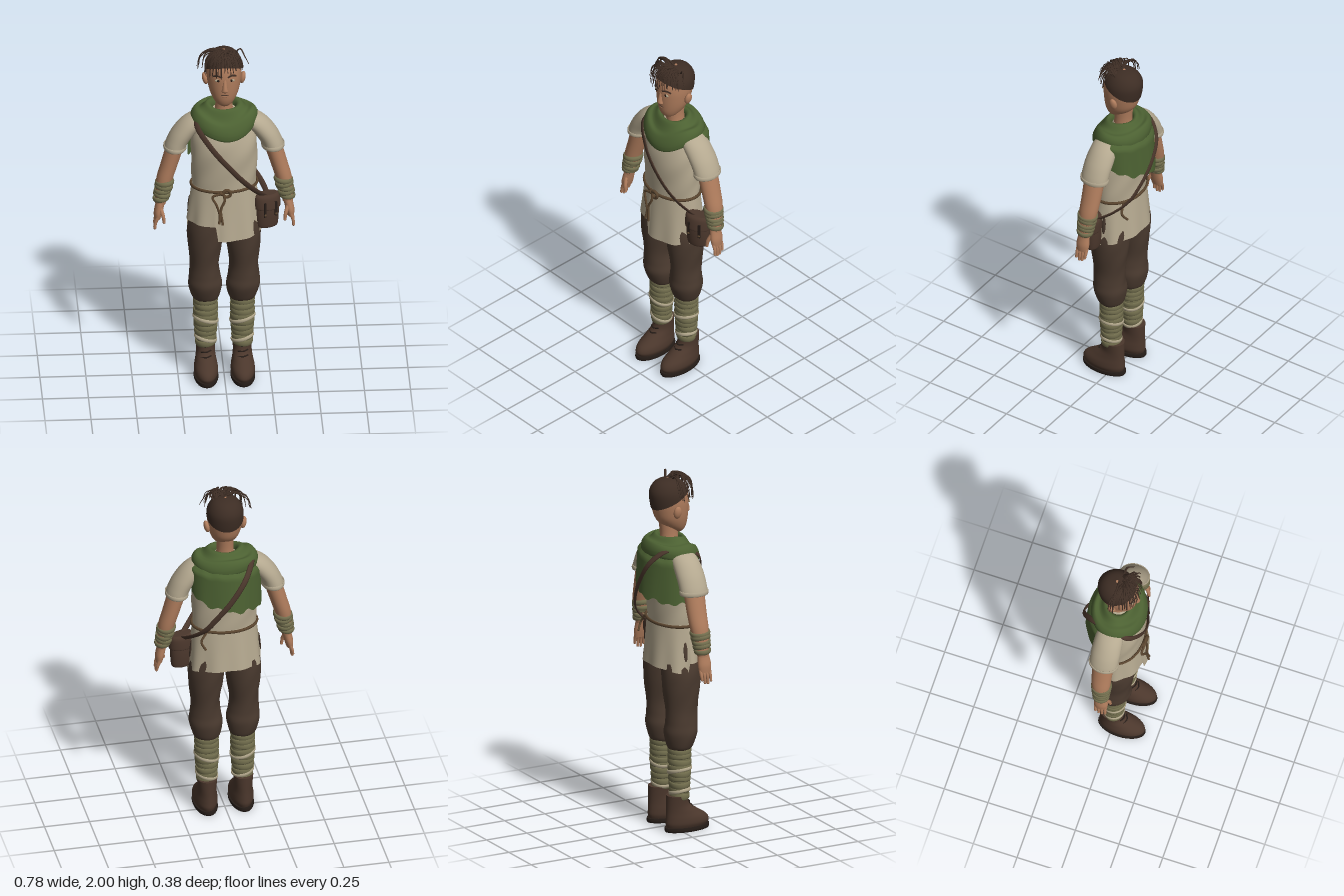
import * as THREE from 'three';

const V = (x, y, z) => new THREE.Vector3(x, y, z);
const mat = (name, color, double) => {
  const m = new THREE.MeshStandardMaterial({ color, side: double ? THREE.DoubleSide : THREE.FrontSide });
  m.name = name;
  return m;
};

// Grid surface fn(u, v): u runs around, v runs upward or along; optional end caps
function surf(fn, nu, nv, closed = true, caps = false) {
  const pos = [], idx = [], cols = closed ? nu : nu + 1;
  for (let i = 0; i <= nv; i++) for (let j = 0; j < cols; j++) pos.push(...fn(j / nu, i / nv).toArray());
  for (let i = 0; i < nv; i++) for (let j = 0; j < nu; j++) {
    const a = i * cols + j, b = i * cols + (j + 1) % cols;
    idx.push(a, a + cols, b, b, a + cols, b + cols);
  }
  if (caps) for (const v of [0, 1]) {
    const base = pos.length / 3, c = V(0, 0, 0);
    for (let j = 0; j < nu; j++) { const p = fn(j / nu, v); c.addScaledVector(p, 1 / nu); pos.push(...p.toArray()); }
    pos.push(...c.toArray());
    for (let j = 0; j < nu; j++) {
      const a = base + j, b = base + (j + 1) % nu;
      idx.push(base + nu, v ? b : a, v ? a : b);
    }
  }
  const g = new THREE.BufferGeometry();
  g.setAttribute('position', new THREE.Float32BufferAttribute(pos, 3));
  g.setIndex(idx);
  g.computeVertexNormals();
  return g;
}

// Smooth interpolation through sections [y, cx, cz, rx, rz]
function section(S, t) {
  const f = t * (S.length - 1), k = Math.min(Math.floor(f), S.length - 2), w = f - k;
  return S[k].map((b, i) => {
    const c = S[k + 1][i], a = S[Math.max(k - 1, 0)][i], d = S[Math.min(k + 2, S.length - 1)][i];
    return 0.5 * (2 * b + (c - a) * w + (2 * a - 5 * b + 4 * c - d) * w * w + (3 * b - a - 3 * c + d) * w ** 3);
  });
}
function loft(S, { seg = 32, sub = 6, caps = true, fold = 0 } = {}) {
  return surf((u, v) => {
    const [y, cx, cz, rx, rz] = section(S, v), a = u * Math.PI * 2;
    const k = 1 + fold * Math.sin(a * 5 + y * 34);
    return V(cx + Math.cos(a) * rx * k, y, cz + Math.sin(a) * rz * k);
  }, seg, (S.length - 1) * sub, true, caps);
}
// Sweep an oval section (half width w, half thickness t) along a curve, facing away from c
function sweep(curve, n, w, t, c, taper = 0) {
  return surf((u, v) => {
    const p = curve.getPoint(v), T = curve.getTangent(v), O = p.clone().sub(c);
    O.addScaledVector(T, -O.dot(T)).normalize();
    const B = O.clone().cross(T), a = u * Math.PI * 2, k = 1 - taper * v;
    return p.addScaledVector(O, Math.cos(a) * t * k).addScaledVector(B, Math.sin(a) * w * k);
  }, 8, n, true, !curve.closed);
}
const path = (pts, closed = false) => new THREE.CatmullRomCurve3(pts.map(p => V(...p)), closed);
// Oval band around a limb, tilted by tx and tz
function band(x, y, z, rx, rz, w, t, tx = 0, tz = 0) {
  const pts = [];
  for (let i = 0; i < 16; i++) {
    const a = -i / 16 * Math.PI * 2, dx = Math.cos(a) * rx, dz = Math.sin(a) * rz;
    pts.push([x + dx, y + dx * tx + dz * tz, z + dz]);
  }
  return sweep(path(pts, true), 40, w, t, V(x, y, z));
}

export function createModel() {
  const M = {
    skin: mat('skin', 0xb07d5d), linen: mat('linen', 0xb5a990, true), green: mat('green cloth', 0x4c6132, true),
    trouser: mat('brown cloth', 0x4a3a2f), leather: mat('leather', 0x4b372c), hair: mat('hair', 0x3d2d24),
    wrap: mat('olive wrap', 0x74704f), pale: mat('pale cloth', 0xb3a88c), dark: mat('dark', 0x261d18), rope: mat('rope', 0x5a452f),
  };
  const root = new THREE.Group();
  const add = (name, geo, m, parent = root) => {
    const mesh = new THREE.Mesh(geo, m);
    mesh.name = name;
    parent.add(mesh);
    return mesh;
  };
  const blob = (name, m, p, s, parent = root) => {
    const b = add(name, new THREE.SphereGeometry(1, 20, 14), m, parent);
    b.position.set(...p); b.scale.set(...s);
    return b;
  };
  let seed = 7;
  const rnd = () => (seed = (seed * 16807) % 2147483647) / 2147483647;

  // Head, neck and face
  const H = [[1.674, 0, 0.045, 0.024, 0.022], [1.69, 0, 0.036, 0.046, 0.045], [1.72, 0, 0.02, 0.066, 0.073], [1.76, 0, 0.007, 0.082, 0.092],
    [1.81, 0, 0, 0.092, 0.102], [1.86, 0, -0.005, 0.097, 0.107], [1.91, 0, -0.01, 0.094, 0.104],
    [1.95, 0, -0.012, 0.074, 0.082], [1.972, 0, -0.012, 0.045, 0.05], [1.98, 0, -0.012, 0.004, 0.004]];
  add('head', loft(H), M.skin);
  add('neck', loft([[1.58, 0, -0.01, 0.056, 0.056], [1.66, 0, -0.008, 0.046, 0.05], [1.74, 0, -0.01, 0.048, 0.056]]), M.skin);
  add('nose', loft([[1.773, 0, 0.096, 0.008, 0.008], [1.783, 0, 0.099, 0.019, 0.018], [1.8, 0, 0.101, 0.014, 0.017],
    [1.85, 0, 0.096, 0.009, 0.008]], { seg: 16 }), M.skin);
  blob('mouth', M.leather, [0, 1.757, 0.0965], [0.022, 0.0035, 0.004]);
  blob('lowerLip', M.skin, [0, 1.748, 0.093], [0.018, 0.006, 0.006]);
  for (const s of [-1, 1]) {
    blob('ear', M.skin, [s * 0.102, 1.81, -0.01], [0.016, 0.036, 0.023]).rotation.z = -s * 0.2;
    blob('eyeWhite', M.pale, [s * 0.037, 1.846, 0.0925], [0.017, 0.008, 0.005]);
    blob('iris', M.dark, [s * 0.036, 1.846, 0.096], [0.007, 0.0075, 0.004]);
    add('eyebrow', sweep(path([[s * 0.016, 1.868, 0.102], [s * 0.04, 1.876, 0.094], [s * 0.063, 1.867, 0.08]]), 10, 0.005, 0.003, V(0, 1.85, 0)), M.hair);
  }

  // Close-cropped hair cap following the skull
  const atY = y => {
    let lo = 0, hi = 1;
    for (let i = 0; i < 24; i++) { const m = (lo + hi) / 2; if (section(H, m)[0] < y) lo = m; else hi = m; }
    return section(H, lo);
  };
  add('hairCap', surf((u, v) => {
    const a = u * Math.PI * 2, low = 1.868 + 0.052 * Math.sin(a), y = low + (1.98 - low) * Math.sin(v * Math.PI / 2);
    const [, , cz, rx, rz] = atY(y);
    return V(Math.cos(a) * (rx + 0.004), y + 0.004 * v, cz + Math.sin(a) * (rz + 0.004));
  }, 40, 16), M.hair);
  // Loose strands fanning from the crown over the forehead
  const strands = new THREE.Group();
  strands.name = 'hairStrands';
  root.add(strands);
  for (let i = 0; i < 34; i++) {
    const a = Math.PI * (1.04 - 0.9 * i / 33) + (rnd() - 0.5) * 0.25, r = 0.115 + rnd() * 0.035;
    const sx = 0.02 + (rnd() - 0.5) * 0.08, sz = 0.02 + (rnd() - 0.5) * 0.05, lift = 1.985 + rnd() * 0.016;
    const ex = Math.cos(a) * r, ez = Math.sin(a) * Math.min(r, 0.128) - 0.005, ey = 1.862 + rnd() * 0.05 + (i > 22 ? 0.03 : 0);
    add('strand', sweep(path([[sx, 1.96, sz], [sx * 0.6 + ex * 0.4, lift, sz * 0.6 + ez * 0.4],
      [ex * 0.85, 1.955 + rnd() * 0.02, ez * 0.88], [ex, ey, ez]]), 12, 0.0075, 0.0045, V(0, 1.8, -0.02), 0.75), M.hair, strands);
  }

  // Tunic body and skirt with an uneven hem
  add('tunic', loft([[1.16, 0, 0.012, 0.172, 0.12], [1.25, 0, 0.012, 0.177, 0.124], [1.4, 0, 0.012, 0.18, 0.13],
    [1.5, 0, 0.005, 0.172, 0.118], [1.58, 0, -0.005, 0.14, 0.09], [1.63, 0, -0.01, 0.06, 0.05]], { seg: 48, fold: 0.012 }), M.linen);
  add('tunicSkirt', surf((u, v) => {
    const a = u * Math.PI * 2, c = Math.cos(a), s = Math.sin(a), t = 1 - v;
    const hem = s > 0 ? (c < -0.22 ? 0.972 : 0.887 + 0.02 * (1 - s)) : 0.907 - 0.035 * s;
    const k = 1 + 0.025 * t * Math.sin(a * 9);
    return V(c * (0.176 + 0.026 * t) * k, 1.19 - t * (1.19 - hem), 0.012 + s * (0.122 + 0.024 * t) * k);
  }, 96, 10), M.linen);
  for (const s of [-1, 1]) blob('sideVent', M.trouser, [s * 0.192, 1.04, -0.01], [0.0045, 0.055, 0.012]).rotation.z = s * 0.09;

  // Rope belt with knot and hanging ends
  const belt = new THREE.Group();
  belt.name = 'belt';
  root.add(belt);
  add('beltRope', band(0, 1.183, 0.012, 0.181, 0.13, 0.009, 0.007, 0.02), M.rope, belt);
  add('beltKnot', new THREE.TorusGeometry(0.02, 0.009, 8, 20), M.rope, belt).position.set(0.008, 1.18, 0.15);
  blob('knotCore', M.rope, [-0.02, 1.18, 0.148], [0.016, 0.012, 0.012], belt);
  for (const pts of [[[-0.01, 1.18, 0.152], [-0.005, 1.14, 0.16], [-0.025, 1.09, 0.165], [-0.015, 1, 0.176]],
    [[-0.02, 1.18, 0.152], [-0.07, 1.16, 0.15], [-0.05, 1.12, 0.164], [-0.032, 1.06, 0.17], [-0.035, 1.01, 0.18]],
    [[0.12, 1.18, -0.09], [0.15, 1.13, -0.1], [0.13, 1.09, -0.125]]])
    add('ropeEnd', sweep(path(pts), 16, 0.007, 0.006, V(0, 1.1, 0)), M.rope, belt);

  // Draped cowl and back cape
  const cowl = path([[0.32, 1.6, 0], [0.36, 1.648, 0], [0.5, 1.667, 0], [0.64, 1.645, 0], [0.72, 1.637, 0], [0.88, 1.635, 0],
    [0.99, 1.6, 0], [0.99, 1.572, 0], [0.9, 1.555, 0], [0.7, 1.56, 0]]);
  add('cowl', surf((u, v) => {
    const a = u * Math.PI * 2, p = cowl.getPoint(1 - v), z = Math.sin(a) * p.x * 0.152;
    const wave = 0.006 * p.x * Math.sin(a * 3 + p.x * 8);
    return V(Math.cos(a) * p.x * 0.184, p.y + wave - (z > 0 ? 0.07 * (z / 0.15) ** 2 : 0), z);
  }, 56, 36), M.green);
  add('cape', surf((u, v) => {
    const a = -Math.PI * (0.98 - 0.88 * u), t = 1 - v, spread = Math.min(1, 0.62 + 1.4 * t);
    const bottom = 1.315 + 0.12 * u * u + 0.008 * Math.sin(u * 40) + 0.006 * Math.sin(u * 23);
    const k = spread * (1 + 0.02 * t * Math.sin(u * 16));
    return V(0.005 + Math.cos(a) * 0.202 * k, 1.63 - (1.63 - bottom) * t, Math.sin(a) * (0.162 + 0.018 * t) * k);
  }, 60, 20, false), M.green);

  // Shoulder strap and satchel
  add('shoulderStrap', sweep(path([[-0.142, 1.61, 0.01], [-0.152, 1.57, 0.09], [-0.08, 1.46, 0.138], [0, 1.36, 0.15], [0.1, 1.24, 0.132],
    [0.18, 1.15, 0.085], [0.232, 1.1, 0.03], [0.21, 1.14, -0.05], [0.14, 1.22, -0.135], [0.08, 1.31, -0.172],
    [0, 1.42, -0.19], [-0.08, 1.54, -0.172], [-0.132, 1.615, -0.09]], true), 110, 0.016, 0.005, V(0.02, 1.37, 0)), M.leather);
  const bag = new THREE.Group();
  bag.name = 'satchel';
  bag.position.set(0.232, 0, 0.035);
  bag.rotation.y = 0.35;
  root.add(bag);
  add('satchelBody', loft([[0.922, 0, 0, 0.052, 0.032], [0.932, 0, 0, 0.062, 0.042], [1.01, 0, 0, 0.068, 0.046], [1.1, 0, 0, 0.066, 0.04]]), M.leather, bag);
  add('satchelFlap', loft([[1.035, 0, 0.003, 0.07, 0.05], [1.045, 0, 0.003, 0.075, 0.053], [1.1, 0, 0, 0.073, 0.046], [1.118, 0, 0, 0.06, 0.03]]), M.leather, bag);
  for (const x of [-0.032, 0.032]) {
    const tab = add('satchelTab', new THREE.BoxGeometry(0.013, 0.085, 0.008), M.dark, bag);
    tab.position.set(x, 1.04, 0.05);
    blob('satchelButton', M.rope, [x, 1.01, 0.055], [0.007, 0.007, 0.004], bag);
  }

  for (const s of [-1, 1]) {
    const side = S => S.map(([y, x, ...r]) => [y, x * s, ...r]);
    // Sleeve and cuff
    const arm = new THREE.Group();
    arm.name = s > 0 ? 'leftArm' : 'rightArm';
    root.add(arm);
    add('sleeve', loft(side([[1.395, 0.268, 0, 0.06, 0.08], [1.44, 0.252, 0, 0.062, 0.08], [1.5, 0.215, 0, 0.07, 0.08],
      [1.56, 0.163, 0, 0.076, 0.074], [1.595, 0.132, 0, 0.056, 0.054], [1.612, 0.11, 0, 0.01, 0.01]]), { caps: false }), M.linen, arm);
    add('cuff', band(s * 0.266, 1.404, 0, 0.06, 0.08, 0.013, 0.004), M.linen, arm);
    // Bare arm, wrist wrap and hand
    add('forearm', loft(side([[1.06, 0.346, 0.012, 0.028, 0.032], [1.13, 0.336, 0.008, 0.037, 0.042], [1.21, 0.322, 0.003, 0.045, 0.052],
      [1.3, 0.296, 0, 0.047, 0.056], [1.43, 0.258, 0, 0.05, 0.06]])), M.skin, arm);
    for (let i = 0; i < 5; i++)
      add('wristWrap', band(s * (0.343 - i * 0.005), 1.092 + i * 0.024, 0.01 - i * 0.001, 0.038 + i * 0.002, 0.041 + i * 0.0025, 0.014, 0.007,
        s * (i % 2 ? 0.2 : -0.12), 0.1), M.wrap, arm);
    add('palm', loft(side([[0.972, 0.363, 0.015, 0.018, 0.034], [1.01, 0.358, 0.015, 0.024, 0.039], [1.05, 0.35, 0.014, 0.025, 0.035],
      [1.085, 0.343, 0.012, 0.026, 0.03]]), { seg: 20 }), M.skin, arm);
    const finger = (name, pts, r) => {
      add(name, sweep(path(pts), 10, r, r, V(0, 1, -0.5), 0.3), M.skin, arm);
      blob('fingertip', M.skin, pts[pts.length - 1], [r * 0.72, r * 0.72, r * 0.72], arm);
    };
    [0.925, 0.913, 0.916, 0.934].forEach((y, i) => {
      const z = 0.042 - i * 0.018;
      finger('finger', [[s * 0.36, 0.99, z], [s * 0.373, 0.955, z], [s * 0.377, y, z + 0.002]], 0.0105);
    });
    finger('thumb', [[s * 0.348, 1.045, 0.035], [s * 0.333, 1, 0.055], [s * 0.328, 0.965, 0.058]], 0.012);

    // Baggy trouser leg
    const leg = new THREE.Group();
    leg.name = s > 0 ? 'leftLeg' : 'rightLeg';
    root.add(leg);
    add('trouserLeg', loft(side([[0.462, 0.098, 0.002, 0.06, 0.056], [0.49, 0.1, 0.003, 0.077, 0.073], [0.56, 0.103, 0.008, 0.092, 0.092],
      [0.62, 0.106, 0.01, 0.085, 0.089], [0.7, 0.107, 0.01, 0.079, 0.091], [0.82, 0.104, 0.01, 0.094, 0.105],
      [0.92, 0.1, 0.01, 0.1, 0.111], [1.02, 0.09, 0.01, 0.088, 0.108], [1.1, 0.085, 0.01, 0.08, 0.1]]), { fold: 0.012 }), M.trouser, leg);
    // Shin wraps with two pale turns
    add('shin', loft(side([[0.17, 0.1, -0.012, 0.05, 0.045], [0.25, 0.1, 0, 0.055, 0.051], [0.36, 0.099, 0.005, 0.062, 0.058],
      [0.48, 0.098, 0.003, 0.06, 0.057]])), M.wrap, leg);
    for (let i = 0; i < 9; i++) {
      const y = 0.205 + i * 0.032, r = 0.051 + 0.011 * Math.min(1, (y - 0.19) / 0.17);
      add('shinWrap', band(s * 0.1, y, 0.002, r, r - 0.003, 0.019, 0.006, s * (i % 2 ? 0.16 : -0.1), i % 3 * 0.08 - 0.08), M.wrap, leg);
    }
    for (const [y, r] of [[0.225, 0.058], [0.345, 0.066]])
      add('paleWrap', band(s * 0.1, y, 0.003, r, r - 0.003, 0.011, 0.005, s * 0.3, 0.1), M.pale, leg);
    // Boot, sole and laces
    add('boot', loft(side([[0.022, 0.1, 0.048, 0.056, 0.12], [0.045, 0.1, 0.05, 0.065, 0.129], [0.075, 0.1, 0.043, 0.064, 0.121],
      [0.11, 0.1, 0.018, 0.056, 0.094], [0.15, 0.1, -0.008, 0.051, 0.067], [0.205, 0.1, -0.014, 0.055, 0.06]])), M.leather, leg);
    add('sole', loft(side([[0, 0.1, 0.048, 0.063, 0.13], [0.01, 0.1, 0.048, 0.067, 0.134], [0.024, 0.1, 0.048, 0.066, 0.133]])), M.dark, leg);
    for (const y of [0.13, 0.155, 0.18]) {
      const z = 0.075 - (y - 0.13) * 0.6;
      add('lace', sweep(path([[s * 0.1 - 0.028, y, z - 0.012], [s * 0.1, y + 0.004, z + 0.002], [s * 0.1 + 0.028, y + 0.01, z - 0.01]]), 8, 0.004, 0.004, V(s * 0.1, y, -0.02)), M.dark, leg);
    }
  }
  return root;
}
